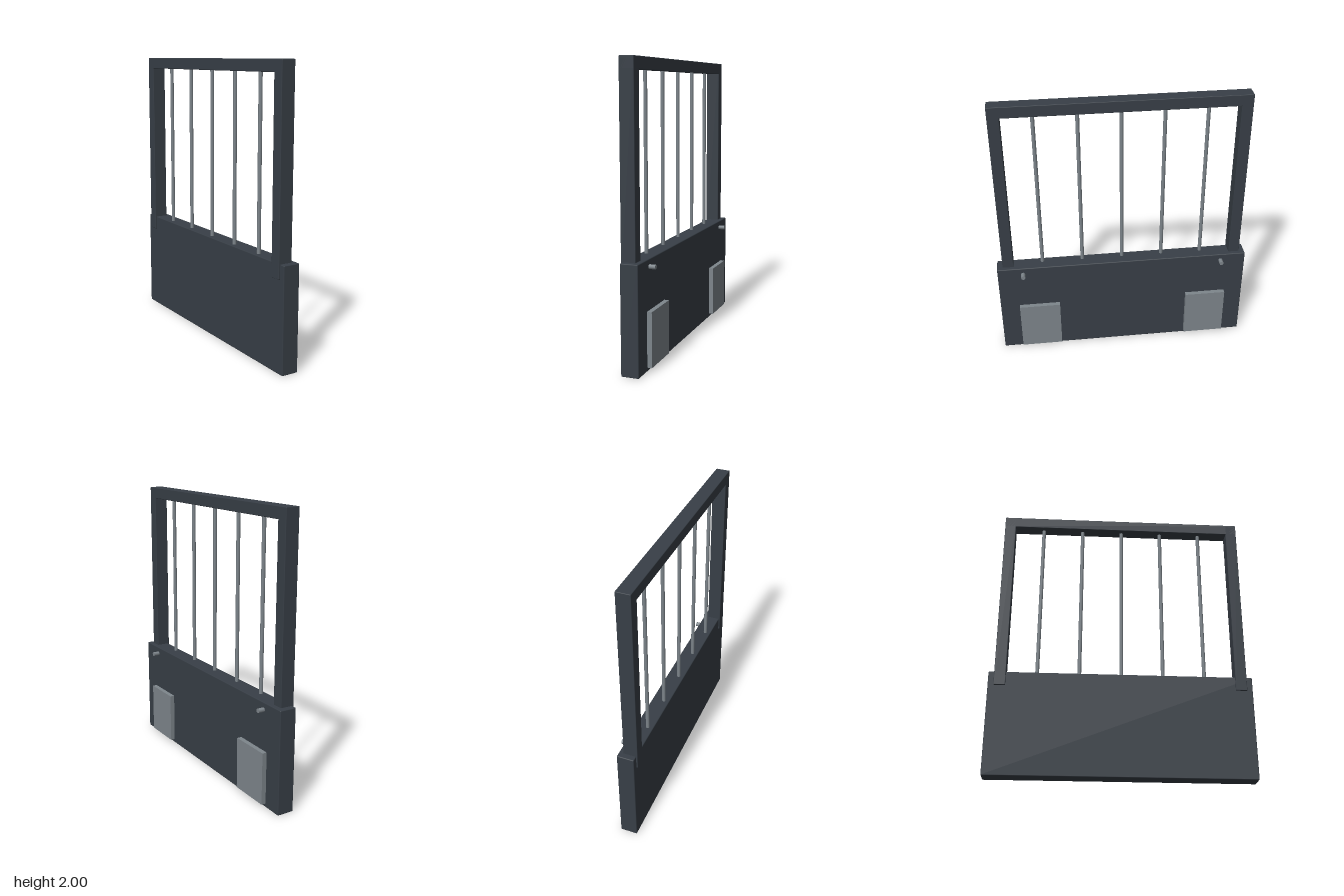
import * as THREE from 'three';
import { RoundedBoxGeometry } from 'three/addons/geometries/RoundedBoxGeometry.js';

export function createModel() {
  const group = new THREE.Group();
  const darkSteel = new THREE.MeshStandardMaterial({ color: 0x383f47 });
  darkSteel.name = 'dark steel';
  const greySteel = new THREE.MeshStandardMaterial({ color: 0x7e868c });
  greySteel.name = 'grey steel';

  const add = (name, geometry, material, x, y, z) => {
    const mesh = new THREE.Mesh(geometry, material);
    mesh.name = name;
    mesh.position.set(x, y, z);
    group.add(mesh);
    return mesh;
  };
  // Box given by its limits on each axis, with slightly softened edges
  const block = (name, material, [x0, x1], [y0, y1], [z0, z1], radius = 0.004) =>
    add(name, new RoundedBoxGeometry(x1 - x0, y1 - y0, z1 - z0, 1, radius), material,
      (x0 + x1) / 2, (y0 + y1) / 2, (z0 + z1) / 2);

  // Solid lower panel
  block('lowerPanel', darkSteel, [-0.08, 0.042], [0.003, 0.735], [-0.92, 0.92], 0.006);

  // Upper frame: top rail and two posts overlapping the panel
  block('topRail', darkSteel, [-0.09, 0.01], [1.92, 2], [-0.88, 0.88]);
  for (const side of [-1, 1]) {
    const span = (a, b) => (side > 0 ? [a, b] : [-b, -a]);
    block('framePost', darkSteel, [-0.09, 0.01], [0.635, 1.99], span(0.8, 0.88));

    // Raised plate and bolt on the outer face
    add('mountingPlate', new THREE.BoxGeometry(0.036, 0.37, 0.3), greySteel,
      0.057, 0.215, side * 0.63);
    const bolt = add('bolt', new THREE.CylinderGeometry(0.016, 0.016, 0.06, 8), greySteel,
      0.057, 0.685, side * 0.735);
    bolt.rotation.z = -Math.PI / 2;
  }

  // Vertical bars
  const barGeometry = new THREE.CylinderGeometry(0.0135, 0.0135, 1.22, 8);
  for (let i = -2; i <= 2; i++) {
    add('bar', barGeometry, greySteel, -0.04, 1.325, i * 0.294);
  }
  return group;
}
